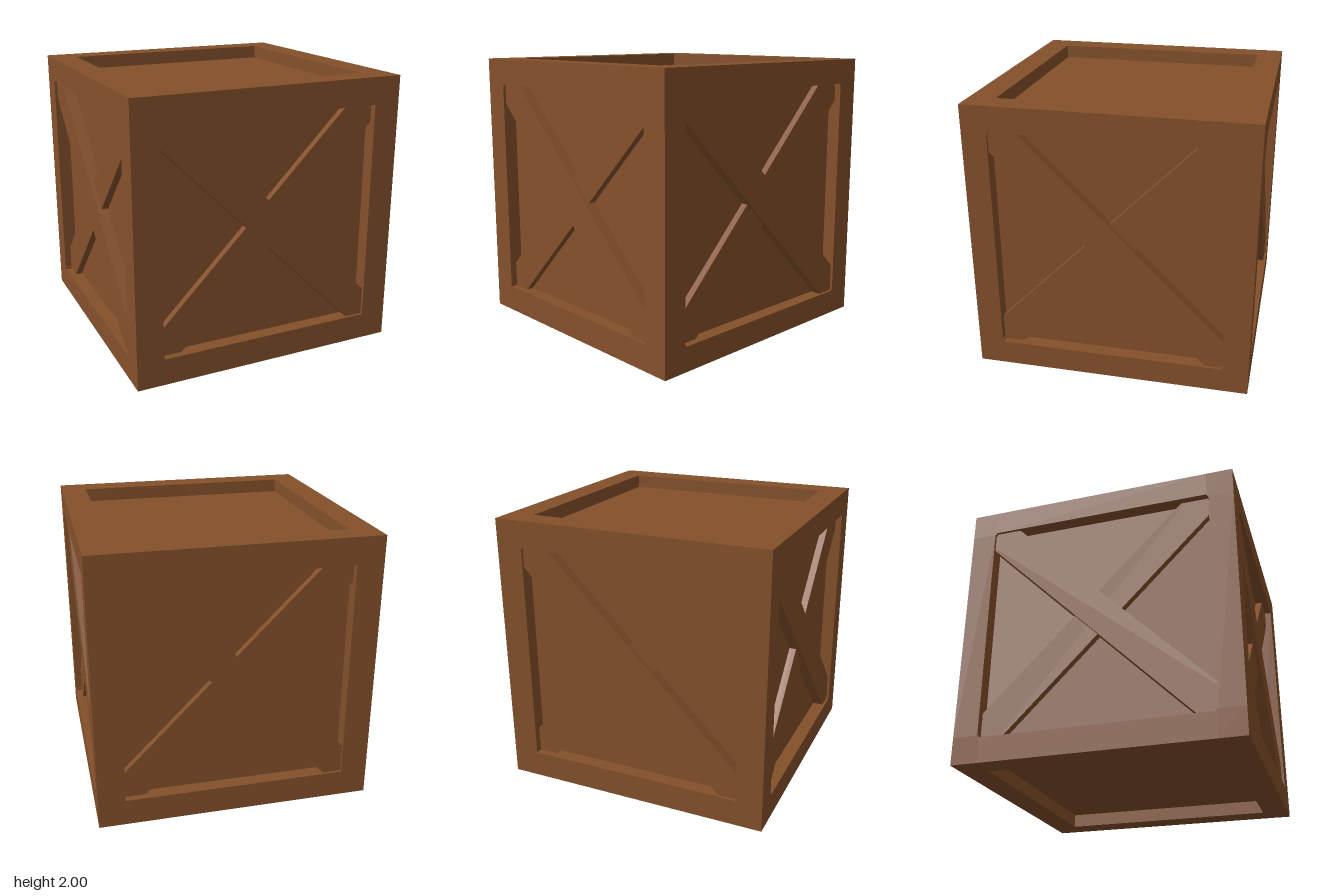
import * as THREE from 'three';

export function createModel() {
  const crate = new THREE.Group();
  crate.name = 'crate';
  const wood = new THREE.MeshStandardMaterial({ color: 0x84502b });
  wood.name = 'brownWood';

  // Box given by its minimum and maximum corners
  function bar(name, min, max) {
    const size = max.map((v, i) => v - min[i]);
    const mesh = new THREE.Mesh(new THREE.BoxGeometry(...size), wood);
    mesh.position.set(...min.map((v, i) => (v + max[i]) / 2));
    mesh.name = name;
    crate.add(mesh);
  }

  // Recessed panels on all six sides
  bar('innerPanels', [-0.9, 0.1, -0.9], [0.9, 1.9, 0.9]);

  // Outer frame: four posts, and rails round the top and bottom
  const span = (s, inner) => (s > 0 ? [inner, 1] : [-1, -inner]);
  for (const a of [-1, 1]) {
    const [z0, z1] = span(a, 0.81);
    const [x0, x1] = span(a, 0.81);
    for (const b of [-1, 1]) {
      const [px0, px1] = span(a, 0.805);
      const [pz0, pz1] = span(b, 0.82);
      bar('cornerPost', [px0, 0.195, pz0], [px1, 1.805, pz1]);

      const [fy0, fy1] = span(b, 0.805);
      bar(a > 0 ? 'frontRail' : 'backRail', [-1, fy0 + 1, z0], [1, fy1 + 1, z1]);

      const [sy0, sy1] = span(b, 0.82);
      bar('sideRail', [x0, sy0 + 1, -0.81], [x1, sy1 + 1, 0.81]);
    }
  }

  // Crossed braces, repeated on the four upright sides
  function brace(name, angle, depth) {
    const thickness = 0.12 - depth;
    const mesh = new THREE.Mesh(new THREE.BoxGeometry(2.44, 0.24, thickness), wood);
    mesh.position.set(0, 1.03, 1 - depth - thickness / 2);
    mesh.rotation.z = angle;
    mesh.name = name;
    return mesh;
  }
  for (let i = 0; i < 4; i++) {
    const cross = new THREE.Group();
    cross.name = 'crossBracing';
    cross.add(brace('overBrace', -0.782, 0.02), brace('underBrace', 0.791, 0.05));
    cross.rotation.y = (i * Math.PI) / 2;
    crate.add(cross);
  }
  return crate;
}
